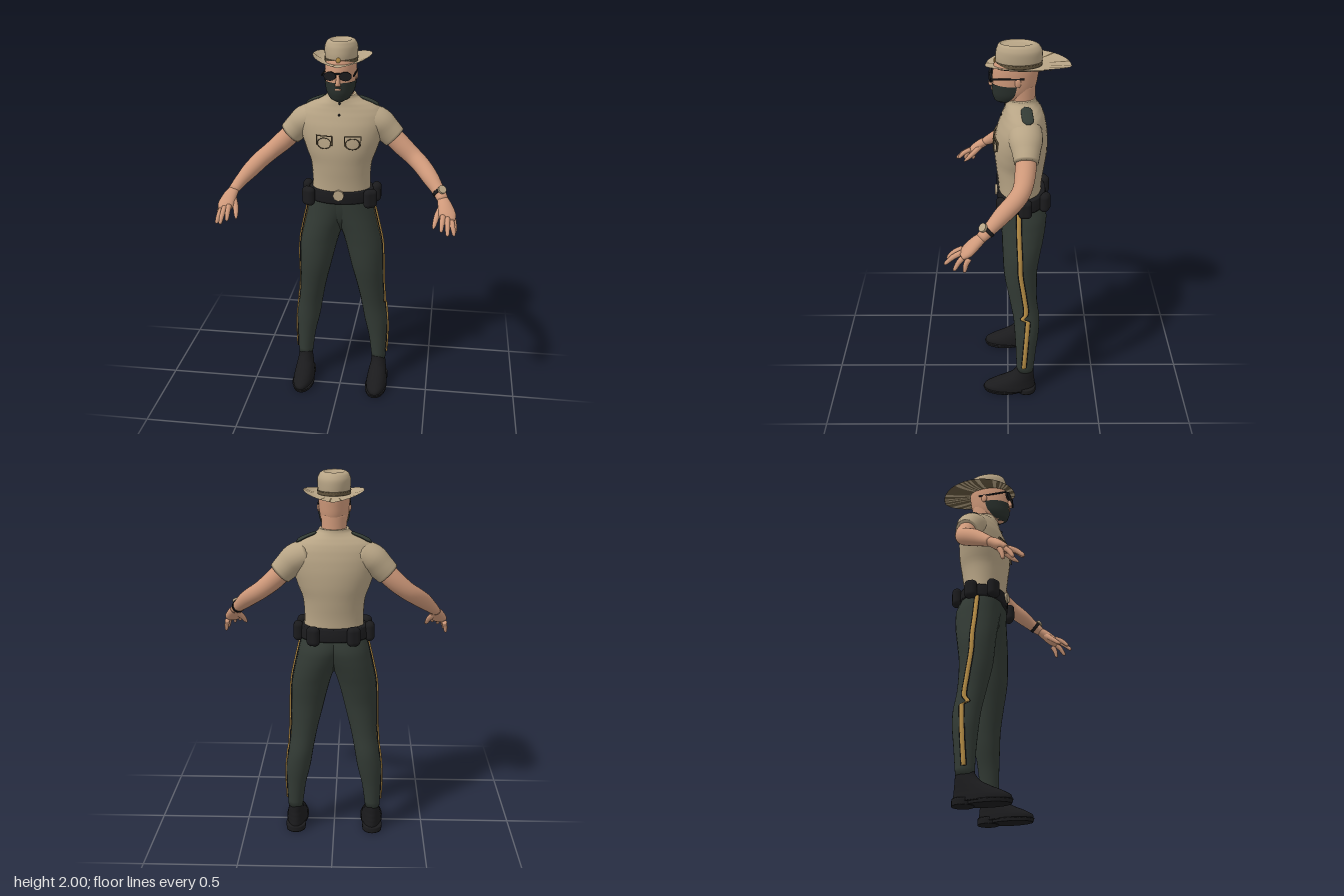
import * as THREE from 'three';
import { RoundedBoxGeometry } from 'three/addons/geometries/RoundedBoxGeometry.js';

const mat = (name, color, side = THREE.FrontSide) => {
  const m = new THREE.MeshStandardMaterial({ color, side });
  m.name = name;
  return m;
};

// Smooth skin over sections [x, y, z, rSide, rNormal]; flat keeps the rings horizontal.
function tube(secs, { flat = false, n = 24, sub = 4, arc = null } = {}) {
  const path = new THREE.CatmullRomCurve3(secs.map(s => new THREE.Vector3(s[0], s[1], s[2])));
  const radii = new THREE.CatmullRomCurve3(secs.map(s => new THREE.Vector3(s[3], s[4] ?? s[3], 0)), false, 'catmullrom', 0.4);
  const rows = (secs.length - 1) * sub, cols = arc ? n + 1 : n;
  const [a0, a1] = arc || [0, Math.PI * 2];
  const pos = [], idx = [], up = new THREE.Vector3(0, 1, 0);
  for (let i = 0; i <= rows; i++) {
    const c = path.getPoint(i / rows), r = radii.getPoint(i / rows);
    const t = flat ? up : path.getTangent(i / rows);
    const side = flat ? new THREE.Vector3(1, 0, 0) : up.clone().cross(t).normalize();
    const nrm = side.clone().cross(t);
    for (let j = 0; j < cols; j++) {
      const a = a0 + (a1 - a0) * j / n;
      const p = c.clone().addScaledVector(side, Math.cos(a) * r.x).addScaledVector(nrm, Math.sin(a) * r.y);
      pos.push(p.x, p.y, p.z);
    }
  }
  for (let i = 0; i < rows; i++) for (let j = 0; j < n; j++) {
    const a = i * cols + j, b = i * cols + (j + 1) % cols;
    idx.push(a, a + cols, b, b, a + cols, b + cols);
  }
  // end caps
  if (!arc) for (const [i, s] of [[0, secs[0]], [rows, secs.at(-1)]]) {
    const k = pos.length / 3;
    pos.push(s[0], s[1], s[2]);
    for (let j = 0; j < n; j++) {
      const a = i * cols + j, b = i * cols + (j + 1) % n;
      i ? idx.push(k, b, a) : idx.push(k, a, b);
    }
  }
  const g = new THREE.BufferGeometry();
  g.setAttribute('position', new THREE.Float32BufferAttribute(pos, 3));
  g.setIndex(idx);
  g.computeVertexNormals();
  return g;
}

// Horizontal ring from its extents: height, x range, z back and front.
const ring = (y, x0, x1, zb, zf) => [(x0 + x1) / 2, y, (zb + zf) / 2, Math.abs(x1 - x0) / 2, (zf - zb) / 2];
const body = rows => tube(rows.map(([y, w, zb, zf]) => ring(y, -w, w, zb, zf)), { flat: true, n: 36 });

// Hat brim wedges chosen by pick(j, row), curling up at the sides.
function brim(pick, dy, faceUp) {
  const pos = [], N = 100;
  const at = (j, k) => {
    const a = j / N * Math.PI * 2, c = Math.cos(a), s = Math.sin(a), f = k / 3;
    const x = c * (0.078 + 0.074 * f), z = -0.055 - 0.047 * f + s * (0.108 + 0.105 * f);
    return [x, 1.889 + dy + f * f * (0.027 * Math.abs(c) - 0.006 * s * s), z];
  };
  for (let j = 0; j < N; j++) for (let k = 0; k < 3; k++) {
    if (!pick(j, k)) continue;
    const a = at(j, k), b = at(j + 1, k), c = at(j, k + 1), d = at(j + 1, k + 1);
    pos.push(...(faceUp ? [a, b, c, b, d, c] : [a, c, b, b, c, d]).flat());
  }
  const g = new THREE.BufferGeometry();
  g.setAttribute('position', new THREE.Float32BufferAttribute(pos, 3));
  g.computeVertexNormals();
  return g;
}

export function createModel() {
  const shirt = mat('khaki', 0xb7a485), skin = mat('skin', 0xcf997a), green = mat('dark green', 0x323a34);
  const black = mat('black', 0x1b1b1d), gold = mat('gold', 0xb68d45), brown = mat('dark khaki', 0x65573f);
  const hair = mat('beard', 0x29302c, THREE.DoubleSide);
  const root = new THREE.Group();
  const add = (name, geo, material, p = [0, 0, 0], r = [0, 0, 0]) => {
    const m = new THREE.Mesh(geo, material);
    m.name = name;
    m.position.set(...p);
    m.rotation.set(...r);
    root.add(m);
  };
  const box = (w, h, d) => new THREE.BoxGeometry(w, h, d);

  // torso, neck and head
  add('shirt', body([[1.17, .16, -.175, .045], [1.25, .155, -.178, .05], [1.35, .162, -.192, .062], [1.43, .19, -.203, .07],
    [1.5, .213, -.205, .066], [1.56, .226, -.2, .054], [1.61, .222, -.19, .036], [1.645, .198, -.178, .022],
    [1.67, .16, -.163, .014], [1.69, .11, -.15, .01], [1.705, .084, -.144, .008], [1.72, .076, -.142, .008]]), shirt);
  add('neck', body([[1.66, .064, -.138, .0], [1.72, .064, -.138, .002], [1.8, .066, -.14, .01]]), skin);
  add('head', body([[1.7, .03, -.04, .045], [1.725, .058, -.09, .065], [1.77, .072, -.135, .073], [1.83, .079, -.15, .075],
    [1.89, .08, -.156, .07], [1.94, .06, -.13, .045]]), skin);
  add('beard', tube([[0, 1.695, .02, .015, .025], [0, 1.712, .005, .05, .062], [0, 1.75, -.022, .073, .1], [0, 1.8, -.033, .082, .112]],
    { flat: true, arc: [Math.PI / 2 - 1.68, Math.PI / 2 + 1.68] }), hair);
  add('nose', tube([[0, 1.785, .077, .015, .017], [0, 1.8, .08, .012, .016], [0, 1.84, .072, .007, .009]], { flat: true, n: 12 }), skin);
  add('mouth', box(.03, .006, .006), skin, [0, 1.768, .079]);

  // sunglasses
  add('glassesBridge', box(.03, .008, .008), black, [0, 1.848, .084]);
  for (const s of [-1, 1]) {
    add('lens', new THREE.CylinderGeometry(.031, .031, .012, 20).rotateX(Math.PI / 2).scale(1, .72, 1), black, [s * .039, 1.836, .084], [0, s * .15, 0]);
    add('glassesArm', box(.006, .008, .165), black, [s * .08, 1.84, 0]);
    add('ear', new THREE.SphereGeometry(.02, 14, 10).scale(.4, 1.2, .8), skin, [s * .079, 1.82, -.05]);
  }

  // hat
  add('hatCrown', tube([[0, 1.888, -.055, .08, .112], [0, 1.93, -.055, .084, .116], [0, 1.965, -.056, .084, .113], [0, 1.99, -.052, .073, .1],
    [0, 1.999, -.045, .055, .083], [0, 1.99, -.04, .042, .066], [0, 1.988, -.04, .01, .015]], { flat: true, n: 36 }), shirt);
  add('hatBand', body([[1.89, .084, -.17, .06], [1.91, .086, -.172, .063]]), brown);
  add('hatBadge', new THREE.SphereGeometry(.012, 12, 8).scale(1, 1.2, .4), gold, [0, 1.91, .064]);
  const streak = (j, k) => k > 0 && (j * 37 + (j * j * 11) % 23) % 13 < 2;
  const under = j => (j * 29 + (j * j * 7) % 19) % 5 < 3;
  add('brimTop', brim((j, k) => !streak(j, k), 0, true), shirt);
  add('brimTopFolds', brim(streak, 0, true), brown);
  add('brimUnderside', brim(j => !under(j), -.004, false), shirt);
  add('brimUndersideFolds', brim(under, -.004, false), brown);

  // trouser seat and belt
  add('trouserSeat', body([[.955, .015, -.11, -.05], [.985, .05, -.14, -.02], [1.03, .1, -.165, .012], [1.1, .15, -.185, .032], [1.17, .162, -.18, .042]]), green);
  add('belt', body([[1.145, .181, -.205, .055], [1.18, .18, -.204, .058], [1.213, .174, -.198, .056]]), black);
  add('buckle', new THREE.CylinderGeometry(.03, .03, .014, 8).rotateX(Math.PI / 2), shirt, [0, 1.197, .061]);
  for (const y of [1.68, 1.625]) add('button', new THREE.SphereGeometry(.006, 10, 8), black, [0, y, y > 1.65 ? .012 : .032]);

  for (const s of [-1, 1]) {
    const limb = (name, secs, m, o) => add(name, tube(secs.map(([x, ...q]) => [s * x, ...q]), o), m);

    // sleeve, arm and hand
    limb('sleeve', [[.13, 1.59, -.085, .085, .075], [.195, 1.563, -.088, .084, .078], [.24, 1.523, -.09, .07], [.278, 1.485, -.09, .06, .064]], shirt);
    limb('shoulderStrap', [[.09, 1.7, -.09, .012, .004], [.105, 1.693, -.092, .027, .007], [.15, 1.675, -.096, .029, .008],
      [.178, 1.66, -.1, .027, .008], [.19, 1.65, -.1, .01, .004]], green);
    limb('arm', [[.24, 1.52, -.09, .052], [.31, 1.45, -.085, .052], [.38, 1.39, -.068, .047], [.425, 1.355, -.035, .046],
      [.475, 1.31, .025, .043], [.52, 1.262, .083, .033], [.55, 1.225, .13, .029, .024]], skin);
    limb('palm', [[.543, 1.233, .118, .027, .023], [.56, 1.205, .155, .038, .027], [.574, 1.17, .193, .045, .026], [.58, 1.15, .22, .035, .016]], skin);
    const fingers = [[.607, 1.145, .185, .617, 1.08, .212], [.594, 1.153, .205, .612, 1.085, .26], [.575, 1.163, .218, .58, 1.1, .303], [.552, 1.172, .217, .548, 1.115, .292]];
    for (const [x, y, z, u, v, w] of fingers)
      limb('finger', [[x, y, z, .014], [(x + u) / 2, (y + v) / 2 + .008, (z + w) / 2, .013], [u, v + .006, w - .006, .009], [u, v, w, .003]], skin, { n: 10 });
    limb('thumb', [[.548, 1.205, .15, .018], [.523, 1.165, .195, .015], [.512, 1.13, .235, .011], [.507, 1.115, .255, .004]], skin, { n: 10 });

    // chest pocket
    const px = s * .074, turn = [-.12, s * .2, 0];
    add('pocketFlap', new THREE.TorusGeometry(.037, .0028, 6, 28).scale(1, .75, 1), brown, [px, 1.482, .065], turn);
    add('pocketTop', box(.084, .004, .008), brown, [px, 1.52, .061], turn);
    for (const e of [-1, 1]) add('pocketEdge', box(.004, .05, .008), brown, [px + e * .041, 1.497, .062 - s * e * .009], turn);

    // belt pouches
    for (const [x, z, a, w] of [[.165, .03, .55, .074], [.188, -.09, 1.57, .07], [.105, -.195, 2.75, .07]])
      add('beltPouch', new RoundedBoxGeometry(w, .104, .05, 5, .025), black, [s * x, 1.178, z], [0, s * a, 0]);

    // trouser leg, overlapping its twin above the crotch
    const leg = [[.15, .175, .257, -.145, -.05], [.28, .158, .26, -.157, -.045], [.4, .13, .262, -.171, -.038], [.49, .115, .25, -.174, -.03],
      [.6, .094, .236, -.16, -.01], [.76, .055, .232, -.158, .02], [.88, .025, .228, -.175, .027], [.96, -.001, .213, -.191, .031],
      [1.03, -.035, .198, -.202, .034], [1.09, -.065, .185, -.204, .037], [1.17, -.09, .162, -.18, .043]];
    limb('trouserLeg', leg.map(r => ring(...r)), green, { flat: true });

    // side stripe with dark piping
    const line = [[.19, .258, -.09], [.35, .262, -.1], [.48, .251, -.108], [.505, .247, -.108], [.52, .244, -.08], [.55, .241, -.098],
      [.66, .234, -.088], [.8, .232, -.068], [.9, .226, -.065], [1, .206, -.06], [1.14, .173, -.058]];
    limb('stripePiping', line.map(([y, x, z]) => [x, y, z, .004, .015]), black, { flat: true, n: 8 });
    limb('stripe', line.map(([y, x, z]) => [x, y, z, .01, .012]), gold, { flat: true, n: 8 });

    // shoe
    limb('shoeUpper', [[.018, .155, .273, -.155, .137], [.042, .156, .272, -.155, .134], [.065, .16, .268, -.153, .098], [.092, .166, .263, -.15, .038],
      [.12, .173, .258, -.147, -.015], [.16, .176, .252, -.145, -.047], [.21, .18, .25, -.14, -.055]].map(r => ring(...r)), black, { flat: true });
    limb('shoeSole', [ring(.004, .152, .272, -.1, .135), ring(.024, .15, .276, -.1, .142)], black, { flat: true });
    limb('shoeHeel', [ring(0, .162, .27, -.16, -.05), ring(.035, .16, .272, -.16, -.045)], black, { flat: true });
  }

  // wristwatch on the left arm
  add('watchStrap', tube([[.525, 1.257, .09, .0355], [.533, 1.247, .102, .034]]), black);
  add('watchFace', new THREE.CylinderGeometry(.022, .022, .012, 16), shirt, [.541, 1.279, .118], [.75, 0, -.45]);
  return root;
}
